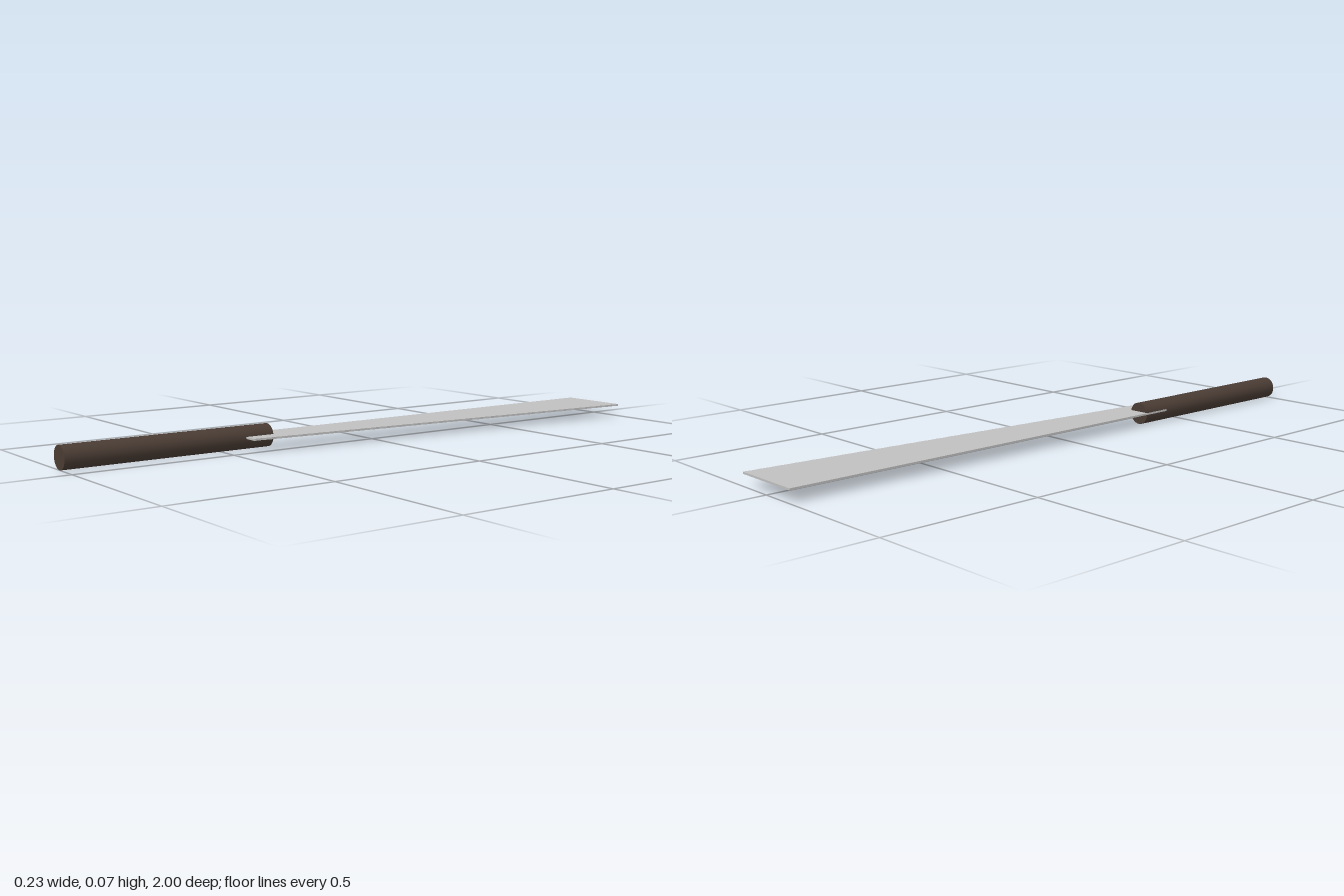
import * as THREE from 'three';

export function createModel() {
  const group = new THREE.Group();
  const steel = new THREE.MeshStandardMaterial({ color: 0xc0c0c0 });
  steel.name = 'steel';
  const wood = new THREE.MeshStandardMaterial({ color: 0x4a3c34 });
  wood.name = 'dark wood';

  // Round handle lying along z
  const handleGeometry = new THREE.CylinderGeometry(0.035, 0.035, 0.665, 32);
  handleGeometry.rotateX(Math.PI / 2);
  const handle = new THREE.Mesh(handleGeometry, wood);
  handle.name = 'handle';
  handle.position.set(-0.08, 0.035, 0.6675);
  group.add(handle);

  // Tapered blade with fine teeth along the slanted edge (shape y is -z)
  const heel = new THREE.Vector2(0, -0.43);
  const tip = new THREE.Vector2(0.115, 1);
  const teeth = 28;
  const toothDepth = 0.002;
  const outline = new THREE.Shape();
  outline.moveTo(-0.115, -0.43);
  outline.lineTo(heel.x, heel.y);
  for (let i = 0; i < teeth; i++) {
    const notch = heel.clone().lerp(tip, (i + 0.5) / teeth);
    const point = heel.clone().lerp(tip, (i + 1) / teeth);
    outline.lineTo(notch.x - toothDepth, notch.y);
    outline.lineTo(point.x, point.y);
  }
  outline.lineTo(-0.115, 1);
  outline.closePath();

  const bladeGeometry = new THREE.ExtrudeGeometry(outline, { depth: 0.006, bevelEnabled: false });
  bladeGeometry.rotateX(-Math.PI / 2);
  const blade = new THREE.Mesh(bladeGeometry, steel);
  blade.name = 'blade';
  blade.position.y = 0.035;
  group.add(blade);

  return group;
}
